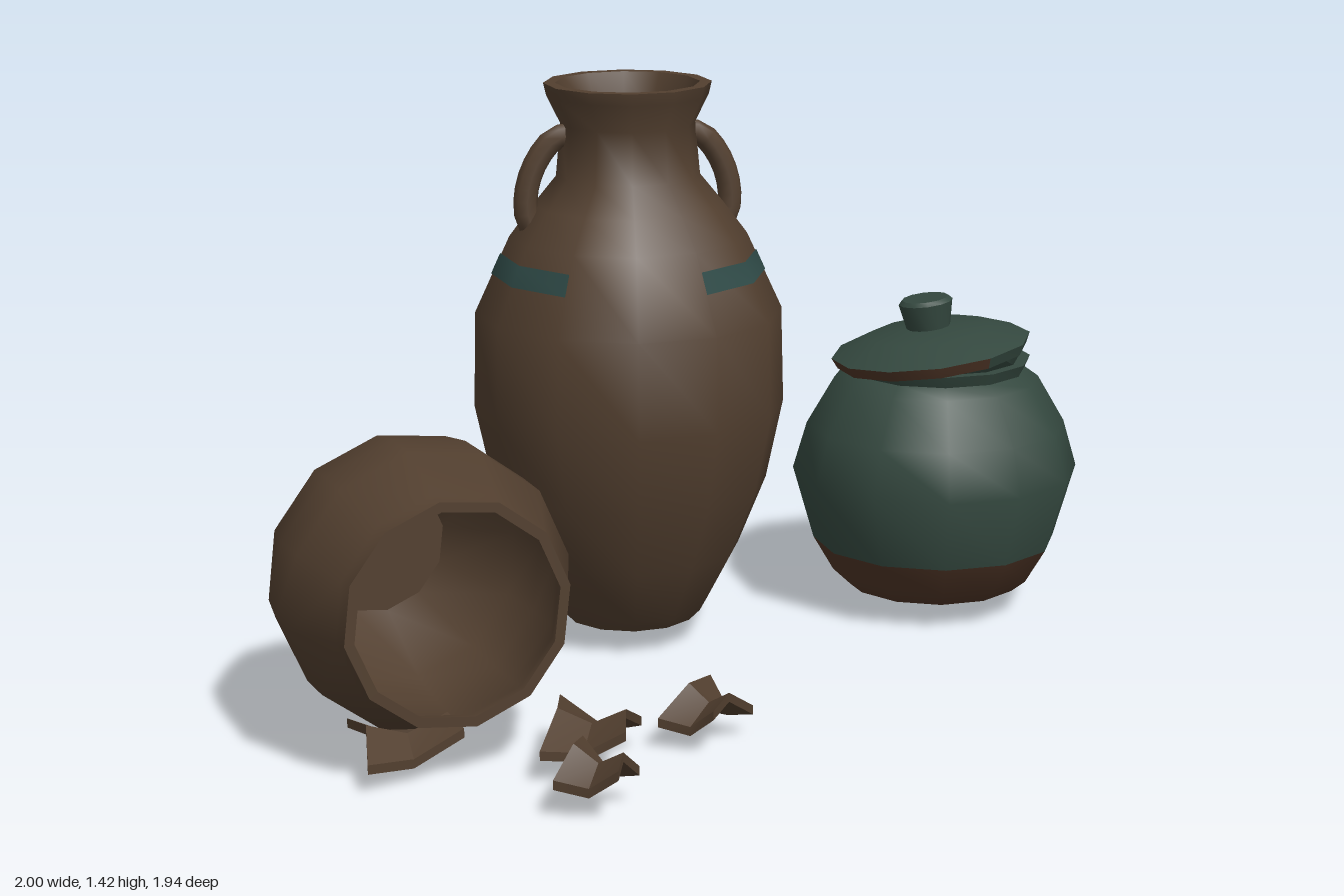
import * as THREE from 'three';
import { toCreasedNormals } from 'three/addons/utils/BufferGeometryUtils.js';

const mat = (name, color) => {
  const m = new THREE.MeshStandardMaterial({ color });
  m.name = name;
  return m;
};
const clay = mat('brown clay', 0x523f2f);
const glaze = mat('green glaze', 0x34483f);
const paint = mat('teal paint', 0x2f4a47);
const bare = mat('bare fired clay', 0x4f3526);
const deg = THREE.MathUtils.degToRad;

function add(parent, name, geometry, material) {
  const mesh = new THREE.Mesh(geometry, material);
  mesh.name = name;
  parent.add(mesh);
  return mesh;
}

// Twelve-sided turned form; profile is [radius, height], start and length in degrees
function turned(profile, start = 0, length = 360) {
  const pts = profile.map(([r, y]) => new THREE.Vector2(r, y));
  return toCreasedNormals(new THREE.LatheGeometry(pts, length / 30, deg(start), deg(length)), 0.8);
}

function group(parent, name, x, y, z) {
  const g = new THREE.Group();
  g.name = name;
  g.position.set(x, y, z);
  parent.add(g);
  return g;
}

function tallJar(parent) {
  const g = group(parent, 'tallJar', -0.168, 0, -0.362);
  add(g, 'jarBody', turned([
    [0, 0.07], [0.165, 0.07], [0.195, 0.1], [0.275, 0.25], [0.345, 0.42], [0.388, 0.62], [0.382, 0.86],
    [0.295, 1.05], [0.235, 1.13], [0.178, 1.2], [0.166, 1.33], [0.2, 1.4], [0.207, 1.43],
    [0.178, 1.43], [0.135, 1.33], [0.14, 1.2], [0.26, 1.05], [0.345, 0.86], [0.35, 0.62], [0.3, 0.42], [0.15, 0.12], [0, 0.12],
  ], 3), clay);
  // Painted band, worn away at front and back
  const band = [[0.341, 0.957], [0.318, 1.008]];
  add(g, 'bandLeft', turned(band, 33, 90), paint);
  add(g, 'bandRight', turned(band, -147, 120), paint);
  // Loop handles
  for (const side of [0, 180]) {
    const curve = new THREE.CatmullRomCurve3([
      [0.14, 1.305], [0.185, 1.295], [0.235, 1.23], [0.257, 1.15], [0.25, 1.09], [0.225, 1.06],
    ].map(([x, y]) => new THREE.Vector3(x, y, 0)));
    const h = add(g, 'jarHandle', new THREE.TubeGeometry(curve, 10, 0.03, 8), clay);
    h.rotation.y = deg(11 + side);
  }
}

function lidPot(parent) {
  const g = group(parent, 'liddedPot', 0.63, 0, -0.612);
  add(g, 'potFoot', turned([[0, 0.07], [0.225, 0.07], [0.262, 0.1], [0.315, 0.19]]), bare);
  add(g, 'potBody', turned([
    [0.315, 0.19], [0.37, 0.38], [0.335, 0.5], [0.265, 0.62], [0.23, 0.645], [0.243, 0.675],
    [0.215, 0.675], [0.205, 0.645], [0.3, 0.5], [0.335, 0.38], [0.24, 0.13], [0, 0.13],
  ]), glaze);
  // Lid sits askew, its glaze chipped along part of the edge
  const lid = group(g, 'lid', -0.012, 0.675, 0);
  lid.rotation.z = deg(7.5);
  add(lid, 'lidUnderside', turned([[0, 0], [0.246, 0]]), glaze);
  const edge = [[0.246, 0], [0.259, 0.028]];
  add(lid, 'lidEdge', turned(edge, 30, 240), glaze);
  add(lid, 'lidChippedEdge', turned(edge, -90, 120), bare);
  add(lid, 'lidTop', turned([[0.259, 0.028], [0.16, 0.068], [0, 0.085]]), glaze);
  add(lid, 'lidKnob', turned([[0.055, 0.07], [0.07, 0.145], [0.06, 0.155], [0, 0.155]]), glaze);
}

function fallenPot(parent) {
  const g = group(parent, 'fallenPot', -0.79, 0.405, 0.094);
  g.quaternion.setFromUnitVectors(new THREE.Vector3(0, 1, 0), new THREE.Vector3(0.37, 0, 0.93).normalize());
  add(g, 'fallenPotBody', turned([
    [0, 0], [0.18, 0], [0.23, 0.035], [0.318, 0.22], [0.337, 0.34], [0.335, 0.45], [0.275, 0.6], [0.267, 0.635],
    [0.243, 0.635], [0.25, 0.6], [0.305, 0.45], [0.305, 0.34], [0.285, 0.22], [0.17, 0.04], [0, 0.04],
  ]), clay);
}

// Curved, jagged sherd: a thin plate with pinched sides and corners bent out of plane
function sherd(parent, [x, y, z], w, d, turn, skew, tiltX = 0) {
  const geo = new THREE.BoxGeometry(2, 0.022, 2, 2, 1, 2);
  const p = geo.attributes.position;
  for (let i = 0; i < p.count; i++) {
    const u = p.getX(i), v = p.getZ(i);
    const pinch = Math.abs(u) + Math.abs(v) === 1 ? 0.82 : 1;
    const bend = 0.035 * (u * u - v * v) + 0.02 * u * v;
    p.setXYZ(i, (u * pinch + skew * v) * w / 2, p.getY(i) + bend, (v * pinch - 0.12 * u * v) * d / 2);
  }
  const m = add(parent, 'sherd', toCreasedNormals(geo, 0.5), clay);
  m.position.set(x, y, z);
  m.rotation.set(tiltX, deg(turn), 0, 'YXZ');
}

export function createModel() {
  const root = new THREE.Group();
  root.name = 'potteryGroup';
  tallJar(root);
  lidPot(root);
  fallenPot(root);
  sherd(root, [-0.88, 0.1, 0], 0.15, 0.14, 5, 0.08);
  sherd(root, [-0.265, 0.1, 0.575], 0.19, 0.24, -5, -0.1);
  sherd(root, [0.005, 0.095, 0.43], 0.14, 0.2, -38, 0.1);
  sherd(root, [-0.25, 0.11, 0.855], 0.15, 0.16, -28, 0.15);
  sherd(root, [-0.67, 0.07, 0.34], 0.2, 0.28, 10, 0.1, -0.12);
  sherd(root, [-0.68, 0.09, 0.6], 0.24, 0.18, 25, -0.12);
  return root;
}
